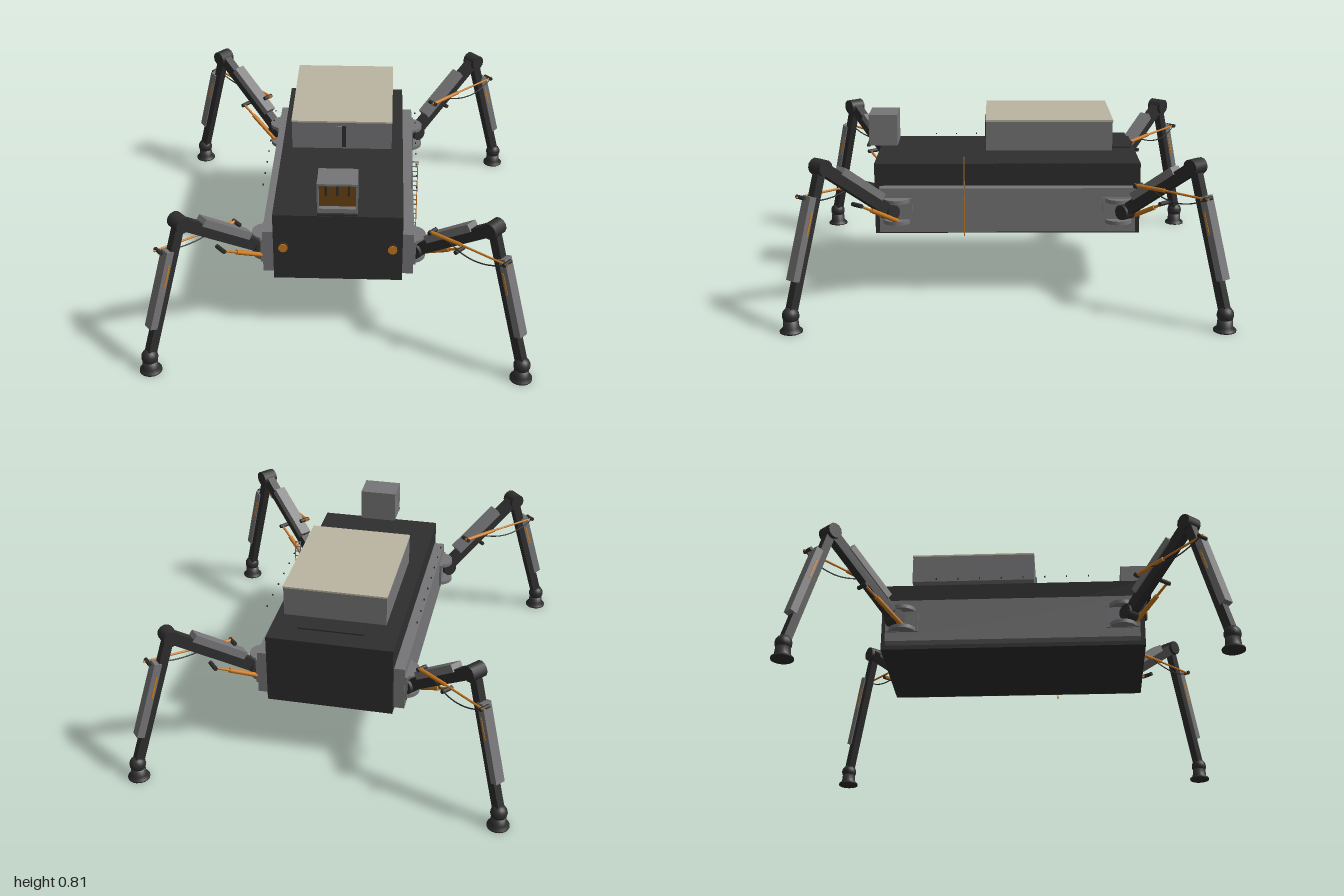
import * as THREE from 'three';

const mat = (name, color) => {
  const m = new THREE.MeshStandardMaterial({ color });
  m.name = name;
  return m;
};

export function createModel() {
  const dark = mat('charcoal', 0x2e2e2f);
  const grey = mat('armour grey', 0x767678);
  const orange = mat('signal orange', 0xcb7a20);
  const cream = mat('cream', 0xbbb6a2);
  const amber = mat('dark amber', 0x6a4412);
  const model = new THREE.Group();
  model.name = 'walker';

  const add = (parent, name, geo, m, x, y, z) => {
    const mesh = new THREE.Mesh(geo, m);
    mesh.name = name;
    mesh.position.set(x, y, z);
    parent.add(mesh);
    return mesh;
  };
  // Box given by its lower and upper corners
  const box = (parent, name, m, a, b) => add(parent, name,
    new THREE.BoxGeometry(b[0] - a[0], b[1] - a[1], b[2] - a[2]), m,
    (a[0] + b[0]) / 2, (a[1] + b[1]) / 2, (a[2] + b[2]) / 2);
  const cyl = (parent, name, m, r0, r1, h, x, y, z, sides = 16) =>
    add(parent, name, new THREE.CylinderGeometry(r0, r1, h, sides), m, x, y, z);

  // Hull and deck
  box(model, 'hull', dark, [-0.29, 0.285, -0.62], [0.29, 0.62, 0.62]);
  for (const s of [-1, 1]) {
    add(model, 'sideRail', new THREE.BoxGeometry(0.05, 0.21, 1.19), grey, s * 0.315, 0.41, 0);
    cyl(model, 'lampHousing', dark, 0.024, 0.024, 0.012, s * 0.245, 0.455, 0.624).rotation.x = Math.PI / 2;
    cyl(model, 'headlamp', orange, 0.021, 0.021, 0.006, s * 0.245, 0.455, 0.632).rotation.x = Math.PI / 2;
    for (let i = 0; i < 8; i++)
      add(model, 'markerStud', new THREE.BoxGeometry(0.006, 0.006, 0.006), dark, s * 0.352, 0.62, -0.36 + i * 0.103);
  }

  // Cargo module with its lid, post, rear plate and latch
  box(model, 'cargoBox', grey, [-0.235, 0.67, -0.49], [0.235, 0.807, 0.1]);
  box(model, 'cargoLid', cream, [-0.237, 0.807, -0.492], [0.237, 0.815, 0.102]);
  box(model, 'rearPlate', dark, [-0.15, 0.662, -0.585], [0.15, 0.669, -0.4]);
  box(model, 'cargoPost', grey, [-0.01, 0.62, -0.335], [0.01, 0.67, -0.325]);
  box(model, 'cargoLatch', grey, [-0.03, 0.68, 0.1], [0, 0.79, 0.108]);
  box(model, 'latchEdge', dark, [0, 0.68, 0.1], [0.02, 0.79, 0.106]);

  // Sensor head: open-fronted case with an amber screen and hanging bars
  const head = new THREE.Group();
  head.name = 'sensorHead';
  model.add(head);
  box(head, 'headBack', grey, [-0.088, 0.66, 0.525], [0.088, 0.81, 0.63]);
  box(head, 'headRoof', grey, [-0.088, 0.8, 0.63], [0.088, 0.81, 0.66]);
  box(head, 'headFloor', grey, [-0.088, 0.66, 0.63], [0.088, 0.685, 0.66]);
  for (const s of [-1, 1])
    add(head, 'headCheek', new THREE.BoxGeometry(0.008, 0.15, 0.03), grey, s * 0.085, 0.735, 0.645);
  box(head, 'screen', amber, [-0.081, 0.685, 0.63], [0.081, 0.8, 0.637]);
  for (const x of [-0.05, 0, 0.05])
    box(head, 'screenBar', dark, [x - 0.005, 0.745, 0.637], [x + 0.005, 0.8, 0.65]);
  box(head, 'headLip', dark, [-0.088, 0.655, 0.655], [0.088, 0.664, 0.672]);

  // Boarding ladder
  for (const x of [0.332, 0.358])
    box(model, 'ladderRail', x < 0.34 ? grey : orange, [x - 0.002, 0.29, 0.198], [x + 0.002, 0.665, 0.202]);
  for (let i = 0; i < 15; i++)
    box(model, 'ladderRung', grey, [0.33, 0.295 + i * 0.026, 0.198], [0.36, 0.299 + i * 0.026, 0.202]);

  // Bar between two points of the leg plane, between fractions t0 and t1
  const bar = (leg, name, m, a, b, t0, t1, thick, depth, z = 0, off = 0) => {
    const dx = b[0] - a[0], dy = b[1] - a[1];
    const len = Math.hypot(dx, dy), t = (t0 + t1) / 2;
    const mesh = add(leg, name, new THREE.BoxGeometry(len * (t1 - t0), thick, depth), m,
      a[0] + dx * t - dy / len * off, a[1] + dy * t + dx / len * off, z);
    mesh.rotation.z = Math.atan2(dy, dx);
  };
  const rod = (leg, name, m, a, b, r, z) => {
    const dx = b[0] - a[0], dy = b[1] - a[1];
    const mesh = cyl(leg, name, m, r, r, Math.hypot(dx, dy), (a[0] + b[0]) / 2, (a[1] + b[1]) / 2, z, 10);
    mesh.rotation.z = Math.atan2(dy, dx) - Math.PI / 2;
  };
  const pin = (leg, name, m, r, len, x, y, z = 0) => {
    cyl(leg, name, m, r, r, len, x, y, z, 12).rotation.x = Math.PI / 2;
  };

  // One leg, built along its own x axis from the hip outwards
  const hip = [0, 0.41], knee = [0.408, 0.7], ankle = [0.61, 0.075];
  const buildLeg = () => {
    const leg = new THREE.Group();
    leg.name = 'leg';
    pin(leg, 'hipJoint', dark, 0.036, 0.07, 0.005, hip[1]);
    bar(leg, 'thigh', dark, hip, knee, 0, 1, 0.055, 0.042);
    bar(leg, 'thighArmour', grey, hip, knee, 0.2, 0.78, 0.035, 0.056, 0, 0.035);
    pin(leg, 'kneeJoint', dark, 0.037, 0.075, knee[0], knee[1]);
    bar(leg, 'shin', dark, knee, ankle, 0, 1, 0.042, 0.036);
    bar(leg, 'shinArmour', grey, knee, ankle, 0.2, 0.77, 0.036, 0.048, 0, 0.027);
    bar(leg, 'shinStripe', orange, knee, ankle, 0.3, 0.46, 0.008, 0.052, 0, 0.02);
    // Knee piston on one side, hip piston on the other
    rod(leg, 'kneePistonBody', orange, [0.09, 0.558], [0.27, 0.57], 0.009, 0.036);
    rod(leg, 'kneePistonRod', orange, [0.27, 0.57], [0.52, 0.58], 0.005, 0.036);
    pin(leg, 'pistonPin', dark, 0.009, 0.05, 0.505, 0.58, 0.025);
    pin(leg, 'pistonPin', dark, 0.01, 0.05, 0.1, 0.558, 0.025);
    rod(leg, 'hipPistonBody', orange, [-0.01, 0.37], [0.15, 0.455], 0.011, -0.036);
    rod(leg, 'hipPistonRod', orange, [0.15, 0.455], [0.22, 0.492], 0.006, -0.036);
    pin(leg, 'pistonPin', dark, 0.01, 0.06, 0.22, 0.492, -0.02);
    // Hanging cable
    const sag = new THREE.QuadraticBezierCurve3(new THREE.Vector3(0.2, 0.56, 0.04),
      new THREE.Vector3(0.36, 0.5, 0.06), new THREE.Vector3(0.5, 0.575, 0.04));
    add(leg, 'cable', new THREE.TubeGeometry(sag, 16, 0.003, 6), dark, 0, 0, 0);
    // Ankle and foot
    add(leg, 'ankle', new THREE.SphereGeometry(0.038, 16, 12), dark, ankle[0], ankle[1], 0);
    const profile = [[0, 0], [0.05, 0], [0.05, 0.008], [0.036, 0.02], [0.033, 0.055], [0, 0.055]];
    add(leg, 'foot', new THREE.LatheGeometry(profile.map(p => new THREE.Vector2(...p)), 20), dark, ankle[0], 0, 0);
    return leg;
  };

  // Four legs with their hip housings
  const splay = 0.716;
  for (const sx of [1, -1]) for (const sz of [1, -1]) {
    const leg = buildLeg();
    leg.position.set(sx * 0.36, 0, sz * 0.545);
    leg.rotation.y = -Math.atan2(sz * Math.sin(splay), sx * Math.cos(splay));
    model.add(leg);
    cyl(model, 'hipHousing', grey, 0.065, 0.065, 0.018, sx * 0.33, 0.46, sz * 0.515, 20);
    cyl(model, 'hipHousing', grey, 0.065, 0.065, 0.018, sx * 0.33, 0.36, sz * 0.515, 20);
    add(model, 'hipPlate', new THREE.BoxGeometry(0.012, 0.12, 0.15), grey, sx * 0.344, 0.41, sz * 0.515);
  }
  return model;
}
